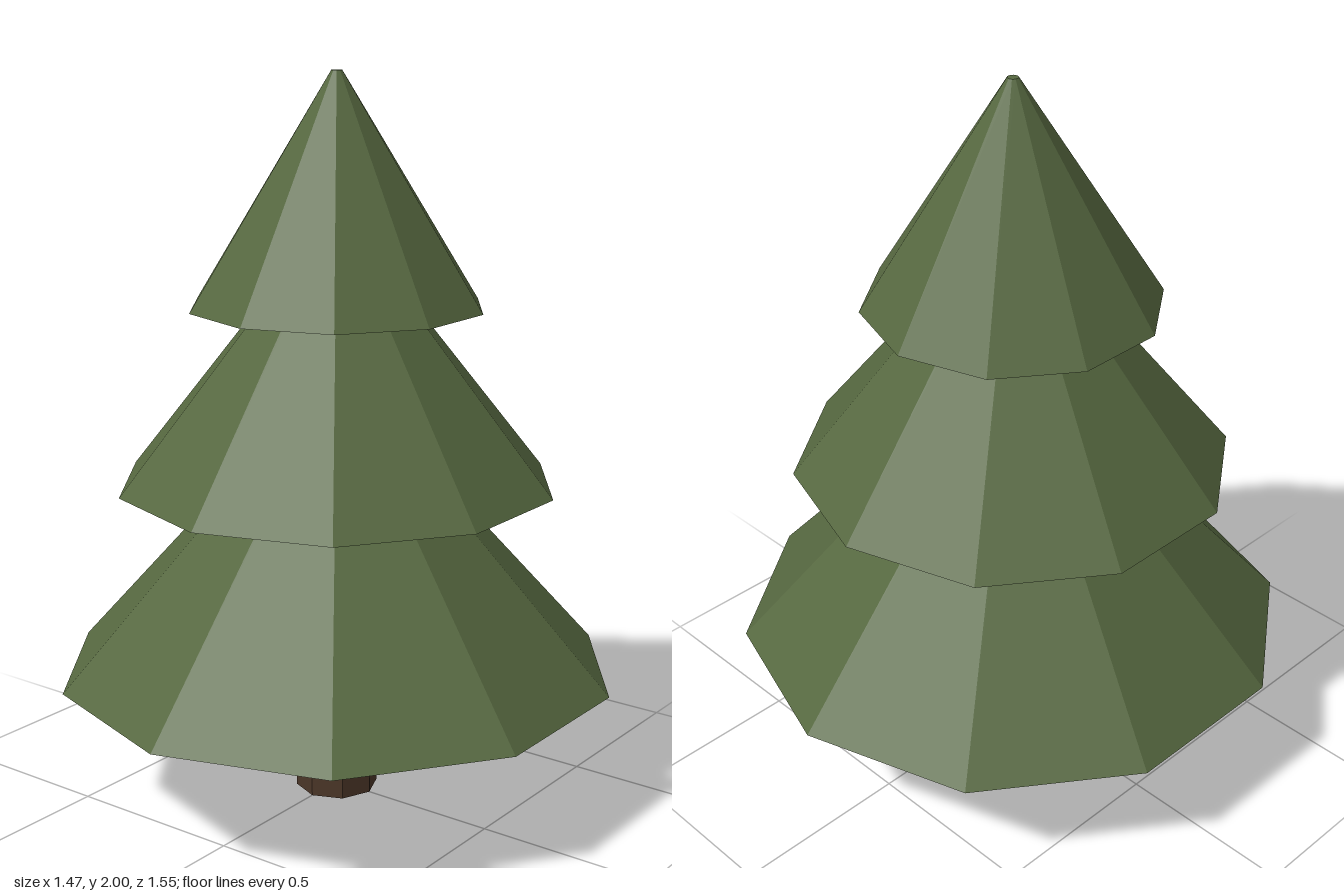
import * as THREE from 'three';

export function createModel() {
  const tree = new THREE.Group();
  tree.name = 'pineTree';
  const bark = new THREE.MeshStandardMaterial({ color: 0x4b3628, flatShading: true });
  const needles = new THREE.MeshStandardMaterial({ color: 0x566840, flatShading: true });

  // Faceted, capped frustum standing on height y
  function addFrustum(name, topRadius, bottomRadius, y, height, sides, material) {
    const geometry = new THREE.CylinderGeometry(topRadius, bottomRadius, height, sides);
    const mesh = new THREE.Mesh(geometry, material);
    mesh.name = name;
    mesh.position.y = y + height / 2;
    tree.add(mesh);
  }

  // Octagonal trunk, running up into the lowest tier
  addFrustum('trunk', 0.115, 0.115, 0, 0.45, 8, bark);

  // Ten-sided foliage tiers: name, bottom radius, bottom height, top height
  const tiers = [
    ['lowerFoliage', 0.773, 0.36, 1.2],
    ['middleFoliage', 0.604, 0.895, 1.63],
    ['upperFoliage', 0.404, 1.38, 2],
  ];
  for (const [name, radius, bottom, top] of tiers) {
    addFrustum(name, 0.015, radius, bottom, top - bottom, 10, needles);
  }
  return tree;
}
